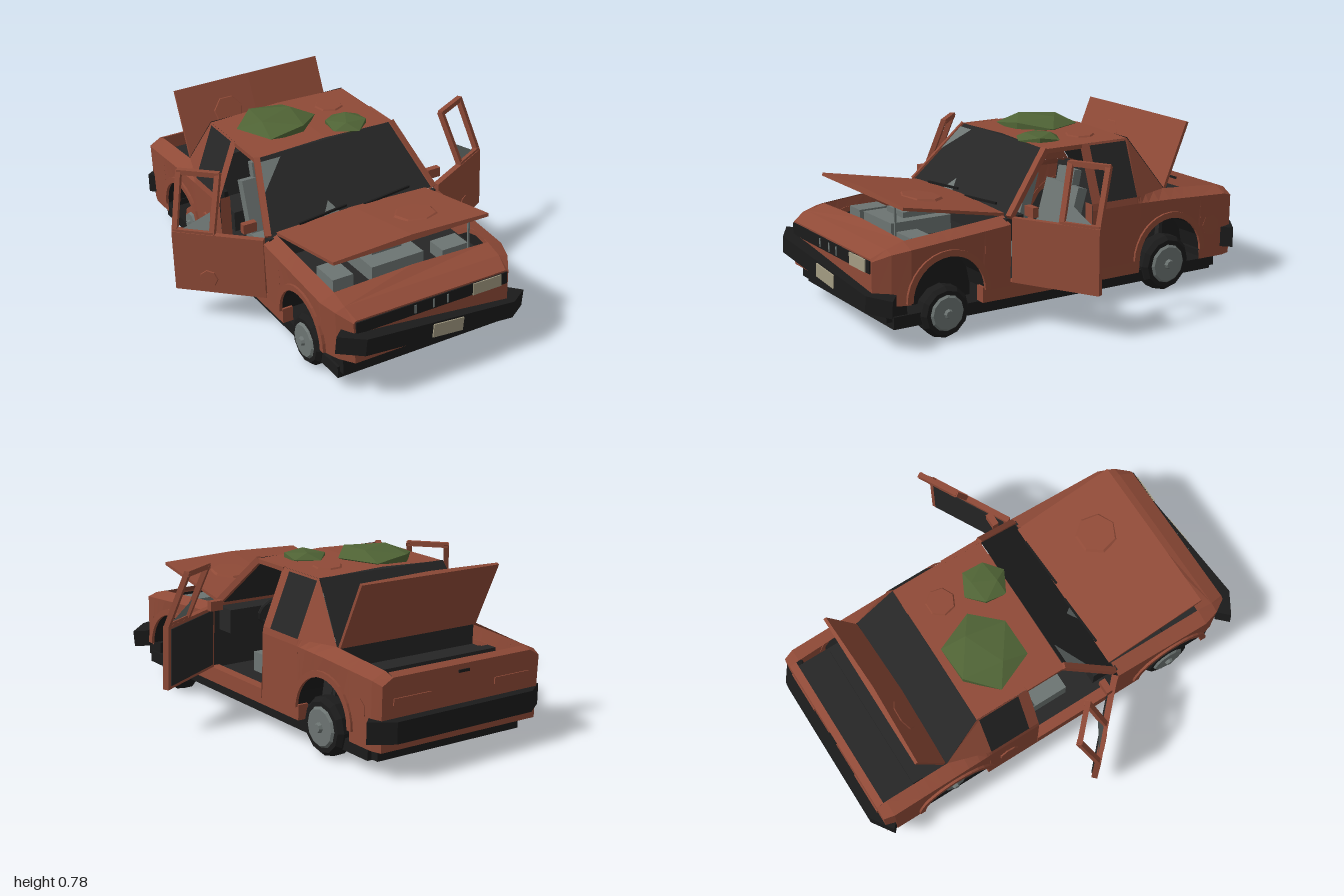
import * as THREE from 'three';

export function createModel() {
  const model = new THREE.Group();
  model.name = 'wreckedCar';
  const mat = (name, color) => Object.assign(
    new THREE.MeshStandardMaterial({ color, flatShading: true, side: THREE.DoubleSide }), { name });
  const rust = mat('rustRed', 0x8f4a37), black = mat('blackPlastic', 0x1b1b1b);
  const dark = mat('darkGlass', 0x262626), grey = mat('metalGrey', 0x6c7472);
  const cream = mat('creamLamp', 0xa39b82), green = mat('mossGreen', 0x4f6335);

  // The body leans slightly towards its missing wheel
  const body = new THREE.Group();
  body.name = 'body';
  body.position.x = -0.04;
  body.rotation.set(-0.015, 0, 0.025);
  model.add(body);

  // Helpers
  const add = (name, geo, m, parent = body, pos = [0, 0, 0], rot = [0, 0, 0]) => {
    const mesh = new THREE.Mesh(geo, m);
    mesh.name = name;
    mesh.position.set(...pos);
    mesh.rotation.set(...rot);
    parent.add(mesh);
    return mesh;
  };
  const box = (name, m, size, pos, parent = body, rot) =>
    add(name, new THREE.BoxGeometry(...size), m, parent, pos, rot);
  const surface = (points, index) => {
    const g = new THREE.BufferGeometry();
    g.setAttribute('position', new THREE.Float32BufferAttribute(points.flat(), 3));
    g.setIndex(index);
    const flat = g.toNonIndexed();
    flat.computeVertexNormals();
    return flat;
  };
  // Flat polygon; corners run anticlockwise seen from outside
  const plate = (name, m, pts, parent = body) => {
    const index = [];
    for (let i = 1; i < pts.length - 1; i++) index.push(0, i, i + 1);
    return add(name, surface(pts, index), m, parent);
  };
  const sidePlate = (name, m, pts, s, parent = body) => {
    const p = pts.map(([x, y, z]) => [x * s, y, z]);
    return plate(name, m, s > 0 ? p : p.reverse(), parent);
  };
  const bar = (name, m, a, b, w, parent = body) => {
    const A = new THREE.Vector3(...a), B = new THREE.Vector3(...b);
    const mesh = new THREE.Mesh(new THREE.BoxGeometry(w, w, A.distanceTo(B) + w * 0.6), m);
    mesh.name = name;
    mesh.position.copy(A).lerp(B, 0.5);
    mesh.lookAt(B);
    parent.add(mesh);
  };
  const dent = (pos, r, rot, parent = body) =>
    add('dent', new THREE.CylinderGeometry(r * 0.9, r, 0.008, 7), rust, parent, pos, rot);

  // Wings and quarters: cross-sections along z, each [z, outer x, shoulder y, inner x, top y]
  const frontKeys = [[0.93, 0.385, 0.355, 0.37, 0.365], [0.86, 0.43, 0.385, 0.385, 0.4],
    [0.78, 0.455, 0.4, 0.385, 0.425], [0.29, 0.455, 0.44, 0.39, 0.468]];
  const rearKeys = [[-0.14, 0.455, 0.44, 0.45, 0.47], [-0.39, 0.455, 0.44, 0.45, 0.47],
    [-0.58, 0.455, 0.435, 0.39, 0.475], [-0.9, 0.455, 0.42, 0.385, 0.45], [-0.95, 0.44, 0.405, 0.385, 0.435]];
  const sample = (keys, z) => {
    let i = 0;
    while (i < keys.length - 2 && z < keys[i + 1][0]) i++;
    const t = (z - keys[i][0]) / (keys[i + 1][0] - keys[i][0]);
    return keys[i].map((v, k) => v + (keys[i + 1][k] - v) * t);
  };
  const archR = 0.18, archY = 0.17;
  const flank = (name, keys, archZ, endLow, startLow, s) => {
    const stations = keys.filter(k => k[0] >= archZ + archR).map(k => [k[0], startLow]);
    stations.push([archZ + archR, startLow]);
    for (let i = 0; i <= 8; i++) {
      const a = Math.PI * i / 8;
      stations.push([archZ + archR * Math.cos(a), archY + archR * Math.sin(a)]);
    }
    stations.push([archZ - archR, endLow]);
    keys.filter(k => k[0] < archZ - archR).forEach(k => stations.push([k[0], endLow]));
    const pts = [], index = [];
    stations.forEach(([z, low], i) => {
      const [, xo, ys, xi, yt] = sample(keys, z);
      pts.push([s * (xo - 0.006), low, z], [s * xo, ys, z], [s * xi, yt, z]);
      if (!i) return;
      for (let k = 0; k < 2; k++) {
        const a = (i - 1) * 3 + k, b = a + 3;
        index.push(...(s > 0 ? [a, b, b + 1, a, b + 1, a + 1] : [a, b + 1, b, a, a + 1, b + 1]));
      }
    });
    add(name, surface(pts, index), rust);
    // Arch lip, liner and inner wall
    const lip = new THREE.Shape();
    lip.absarc(0, 0, 0.205, 0, Math.PI, false);
    lip.absarc(0, 0, archR - 0.003, Math.PI, 0, true);
    add('archLip', new THREE.ExtrudeGeometry(lip, { depth: 0.014, bevelEnabled: false, curveSegments: 8 }),
      rust, body, [s > 0 ? 0.448 : -0.462, archY, archZ], [0, Math.PI / 2, 0]);
    add('archLiner', new THREE.CylinderGeometry(archR + 0.003, archR + 0.003, 0.15, 8, 1, true, 0, Math.PI),
      black, body, [s * 0.375, archY, archZ], [0, 0, Math.PI / 2]);
    box('archWall', black, [0.02, 0.26, 0.37], [s * 0.3, 0.22, archZ]);
  };

  // Upper side plane leaning inwards
  const up = (y, z) => [0.45 - (y - 0.47) * 0.39, y, z];
  for (const s of [1, -1]) {
    flank('frontWing', frontKeys, 0.6, 0.11, 0.16, s);
    flank('rearQuarter', rearKeys, -0.58, 0.12, 0.11, s);
    box('sill', rust, [0.05, 0.07, 0.84], [s * 0.425, 0.145, 0.01]);
    sidePlate('centrePillar', rust, [up(0.47, -0.14), up(0.47, -0.19), up(0.725, -0.19), up(0.725, -0.14)], s);
    sidePlate('pillarEdge', rust, [[0.4, 0.14, -0.14], [0.455, 0.14, -0.14], [0.45, 0.47, -0.14], [0.4, 0.47, -0.14]], s);
    sidePlate('sideWindow', dark, [up(0.47, -0.19), up(0.47, -0.39), up(0.715, -0.39), up(0.715, -0.19)], s);
    sidePlate('windowRail', rust, [up(0.715, -0.19), up(0.715, -0.39), up(0.725, -0.4), up(0.725, -0.19)], s);
    sidePlate('rearPillar', rust, [up(0.47, -0.39), [0.39, 0.475, -0.585], up(0.725, -0.4), up(0.715, -0.39)], s);
    bar('frontPillar', rust, [s * 0.425, 0.47, 0.275], [s * 0.347, 0.718, 0.05], 0.028);
    bar('roofRail', rust, [s * 0.347, 0.716, 0.05], [s * 0.347, 0.716, -0.14], 0.02);
    box('mirror', rust, [0.065, 0.045, 0.03], [s * 0.478, 0.492, 0.2]);

    // Seat
    const seat = new THREE.Group();
    seat.name = 'frontSeat';
    body.add(seat);
    box('cushion', grey, [0.27, 0.09, 0.22], [s * 0.2, 0.235, -0.02], seat);
    box('backrest', grey, [0.26, 0.28, 0.05], [s * 0.2, 0.38, -0.135], seat, [-0.28, 0, 0]);
    box('headrest', grey, [0.13, 0.07, 0.04], [s * 0.2, 0.55, -0.185], seat, [-0.2, 0, 0]);

    // Open door, hinged at its front edge
    const door = new THREE.Group();
    door.name = s > 0 ? 'leftDoor' : 'rightDoor';
    door.position.set(s * 0.455, s > 0 ? 0 : -0.015, 0.285);
    door.rotation.y = s > 0 ? -1.08 : 0.8;
    body.add(door);
    box('doorPanel', rust, [0.028, 0.29, 0.42], [-s * 0.014, 0.325, -0.21], door);
    box('doorLining', dark, [0.006, 0.26, 0.38], [-s * 0.03, 0.325, -0.21], door);
    const f = [[-0.015, 0.47, -0.235], [-0.11, 0.715, -0.225], [-0.11, 0.715, -0.405], [-0.015, 0.47, -0.408]]
      .map(([x, y, z]) => [s * x, y, z]);
    f.forEach((p, i) => bar('windowFrame', rust, p, f[(i + 1) % 4], 0.024, door));
    sidePlate('glassShard', grey, [[-0.015, 0.47, -0.25], [-0.015, 0.47, -0.39], [-0.05, 0.56, -0.25]], s, door);
    dent([s * 0.001, 0.25, -0.26], 0.045, [0, 0, Math.PI / 2], door);
  }

  // Roof and glass
  for (const s of [1, -1])
    sidePlate('roof', rust, [[0.35, 0.725, 0.05], [0.35, 0.725, -0.4], [0, 0.737, -0.4], [0, 0.737, 0.05]], s);
  plate('roofLining', dark, [[-0.34, 0.715, -0.39], [0.34, 0.715, -0.39], [0.34, 0.715, 0.04], [-0.34, 0.715, 0.04]]);
  plate('windscreen', dark, [[-0.415, 0.47, 0.285], [0.415, 0.47, 0.285], [0.35, 0.728, 0.052], [-0.35, 0.728, 0.052]]);
  plate('rearWindow', dark, [[0.39, 0.475, -0.588], [-0.39, 0.475, -0.588], [-0.35, 0.728, -0.402], [0.35, 0.728, -0.402]]);
  plate('glassShard', grey, [[-0.372, 0.61, 0.163], [-0.24, 0.715, 0.07], [-0.342, 0.715, 0.07]]);
  plate('glassShard', grey, [[-0.15, 0.478, 0.284], [-0.06, 0.478, 0.284], [-0.1, 0.53, 0.236]]);
  for (const x of [-0.15, 0.18])
    bar('wiper', black, [x - 0.12, 0.485, 0.285], [x + 0.12, 0.5, 0.272], 0.01);

  // Floor, bulkheads and cabin fittings
  box('underbody', black, [0.84, 0.055, 1.7], [0, 0.083, 0]);
  box('cabinFloor', dark, [0.8, 0.06, 0.8], [0, 0.14, -0.08]);
  box('firewall', dark, [0.86, 0.34, 0.02], [0, 0.29, 0.29]);
  box('seatBulkhead', dark, [0.78, 0.36, 0.02], [0, 0.29, -0.575]);
  box('dashboard', dark, [0.8, 0.11, 0.09], [0, 0.405, 0.235]);
  add('steeringWheel', new THREE.TorusGeometry(0.065, 0.009, 5, 12), dark, body, [0.2, 0.44, 0.15], [-0.4, 0, 0]);
  box('rearBench', dark, [0.6, 0.1, 0.2], [0, 0.22, -0.42]);
  box('rearBenchBack', dark, [0.76, 0.25, 0.06], [0, 0.345, -0.53], body, [-0.15, 0, 0]);
  box('trunkFloor', dark, [0.78, 0.015, 0.35], [0, 0.365, -0.755]);
  box('trunkSill', dark, [0.74, 0.03, 0.05], [0, 0.385, -0.73]);
  box('engineFloor', dark, [0.78, 0.015, 0.62], [0, 0.345, 0.6]);
  box('engineBlock', grey, [0.26, 0.08, 0.3], [-0.02, 0.385, 0.54]);
  box('engineCover', grey, [0.15, 0.03, 0.2], [-0.02, 0.435, 0.5]);
  box('battery', grey, [0.13, 0.06, 0.1], [0.26, 0.38, 0.66]);
  box('washerTank', grey, [0.1, 0.06, 0.14], [-0.28, 0.38, 0.6]);

  // Nose
  plate('nosePanel', rust, [[-0.38, 0.16, 0.93], [0.38, 0.16, 0.93], [0.385, 0.355, 0.93],
    [0.37, 0.365, 0.93], [-0.37, 0.365, 0.93], [-0.385, 0.355, 0.93]]);
  plate('noseTop', rust, [[-0.37, 0.365, 0.93], [0.37, 0.365, 0.93], [0.385, 0.4, 0.86], [-0.385, 0.4, 0.86]]);
  plate('noseLip', rust, [[-0.385, 0.4, 0.86], [0.385, 0.4, 0.86], [0.385, 0.425, 0.775], [0, 0.437, 0.775], [-0.385, 0.425, 0.775]]);
  box('grille', black, [0.75, 0.055, 0.008], [0, 0.33, 0.932]);
  box('headlight', cream, [0.145, 0.055, 0.008], [0.27, 0.33, 0.937]);
  for (const x of [-0.09, 0, 0.07]) box('grilleSlat', grey, [0.008, 0.04, 0.008], [x, 0.33, 0.936]);
  box('frontValance', black, [0.82, 0.075, 0.1], [0, 0.125, 0.83]);

  // Hood propped half open, with a slight crown
  const hood = new THREE.Group();
  hood.name = 'hood';
  hood.position.set(0, 0.475, 0.28);
  hood.rotation.x = -0.185;
  body.add(hood);
  const hoodShape = new THREE.Shape([[-0.385, 0], [0, 0.013], [0.385, 0], [0.385, -0.014], [-0.385, -0.014]]
    .map(p => new THREE.Vector2(...p)));
  add('hoodPanel', new THREE.ExtrudeGeometry(hoodShape, { depth: 0.505, bevelEnabled: false }), rust, hood);
  dent([0.15, 0.014, 0.29], 0.1, [0.07, 0, -0.03], hood);
  bar('hoodProp', grey, [0.29, 0.42, 0.765], [0.29, 0.56, 0.765], 0.008);

  // Tail and raised trunk lid
  plate('tailPanel', rust, [[0.435, 0.12, -0.95], [-0.435, 0.12, -0.95], [-0.44, 0.405, -0.95],
    [-0.385, 0.435, -0.95], [0.385, 0.435, -0.95], [0.44, 0.405, -0.95]]);
  plate('tailTop', rust, [[0.385, 0.435, -0.95], [-0.385, 0.435, -0.95], [-0.385, 0.448, -0.915], [0.385, 0.448, -0.915]]);
  for (const x of [-0.28, 0.28]) box('tailLamp', rust, [0.2, 0.03, 0.008], [x, 0.33, -0.952]);
  box('tailLatch', black, [0.06, 0.012, 0.008], [0, 0.405, -0.952]);
  box('rearValance', black, [0.8, 0.08, 0.08], [0, 0.1, -0.85]);
  const lid = new THREE.Group();
  lid.name = 'trunkLid';
  lid.position.set(0, 0.475, -0.59);
  lid.rotation.x = 1.17;
  body.add(lid);
  const lidShape = hoodShape.clone();
  add('lidPanel', new THREE.ExtrudeGeometry(lidShape, { depth: 0.325, bevelEnabled: false }), rust, lid, [0, 0, -0.325]);
  dent([-0.14, 0.008, -0.17], 0.08, [0, 0, 0.03], lid);

  // Bumpers: same plan outline, the front one hanging askew
  const plan = [[-0.43, -0.02], [-0.485, 0.03], [-0.38, 0.1], [0.38, 0.1], [0.485, 0.03], [0.43, -0.02], [0.36, 0.04], [-0.36, 0.04]];
  const bumper = (name, height, pos, rot) => {
    const g = new THREE.Group();
    g.name = name;
    g.position.set(...pos);
    g.rotation.set(...rot);
    model.add(g);
    const shape = new THREE.Shape(plan.map(([x, z]) => new THREE.Vector2(x, -z)));
    const geo = new THREE.ExtrudeGeometry(shape, { depth: height, bevelEnabled: false });
    geo.rotateX(-Math.PI / 2).translate(0, -height / 2, 0);
    add('bumperBar', geo, black, g);
    return g;
  };
  const front = bumper('frontBumper', 0.078, [-0.035, 0.238, 0.877], [0, 0.035, -0.09]);
  box('numberPlate', cream, [0.155, 0.062, 0.008], [0.03, 0, 0.102], front);
  bumper('rearBumper', 0.095, [-0.035, 0.2, -0.9], [0, Math.PI, -0.02]);

  // Wheels; the rear right one is missing and shows its drum
  const wheel = (name, s, z, y, r, w) => {
    const g = new THREE.Group();
    g.name = name;
    g.position.set(-0.04 + s * 0.4, y, z);
    g.rotation.z = -s * Math.PI / 2;
    model.add(g);
    const pts = [[0.02, -w], [r * 0.85, -w], [r, -w * 0.55], [r, w * 0.55], [r * 0.86, w], [r * 0.7, w], [r * 0.66, w * 0.7], [0, w * 0.7]];
    add('tyre', new THREE.LatheGeometry(pts.map(p => new THREE.Vector2(...p)), 12), black, g);
    add('rim', new THREE.CylinderGeometry(r * 0.62, r * 0.72, 0.014, 12), grey, g, [0, w + 0.002, 0]);
    add('hubCap', new THREE.CylinderGeometry(r * 0.14, r * 0.2, 0.02, 8), grey, g, [0, w + 0.014, 0]);
  };
  wheel('frontLeftWheel', 1, 0.605, 0.115, 0.117, 0.045);
  wheel('frontRightWheel', -1, 0.605, 0.115, 0.117, 0.045);
  wheel('rearLeftWheel', 1, -0.575, 0.13, 0.132, 0.048);
  const drum = new THREE.Group();
  drum.name = 'rearRightDrum';
  drum.position.set(-0.42, 0.115, -0.575);
  drum.rotation.z = Math.PI / 2;
  model.add(drum);
  add('drum', new THREE.CylinderGeometry(0.08, 0.085, 0.06, 10), rust, drum);
  add('drumFace', new THREE.CylinderGeometry(0.05, 0.055, 0.02, 10), grey, drum, [0, 0.035, 0]);
  add('axleNut', new THREE.CylinderGeometry(0.015, 0.018, 0.02, 6), grey, drum, [0, 0.05, 0]);

  // Moss and dents
  const moss = (x, y, z, r, h, turn) => {
    const m = add('moss', new THREE.IcosahedronGeometry(1, 0), green, body, [x, y, z], [0, turn, 0]);
    m.scale.set(r, h, r);
  };
  moss(-0.11, 0.742, -0.21, 0.19, 0.045, 0.4);
  moss(0.16, 0.733, -0.04, 0.11, 0.032, 1.1);
  dent([0.19, 0.733, -0.25], 0.07, [0, 0, -0.034]);
  dent([0.455, 0.28, -0.82], 0.05, [0, 0, Math.PI / 2]);
  dent([-0.455, 0.28, -0.3], 0.05, [0, 0, Math.PI / 2]);

  return model;
}
